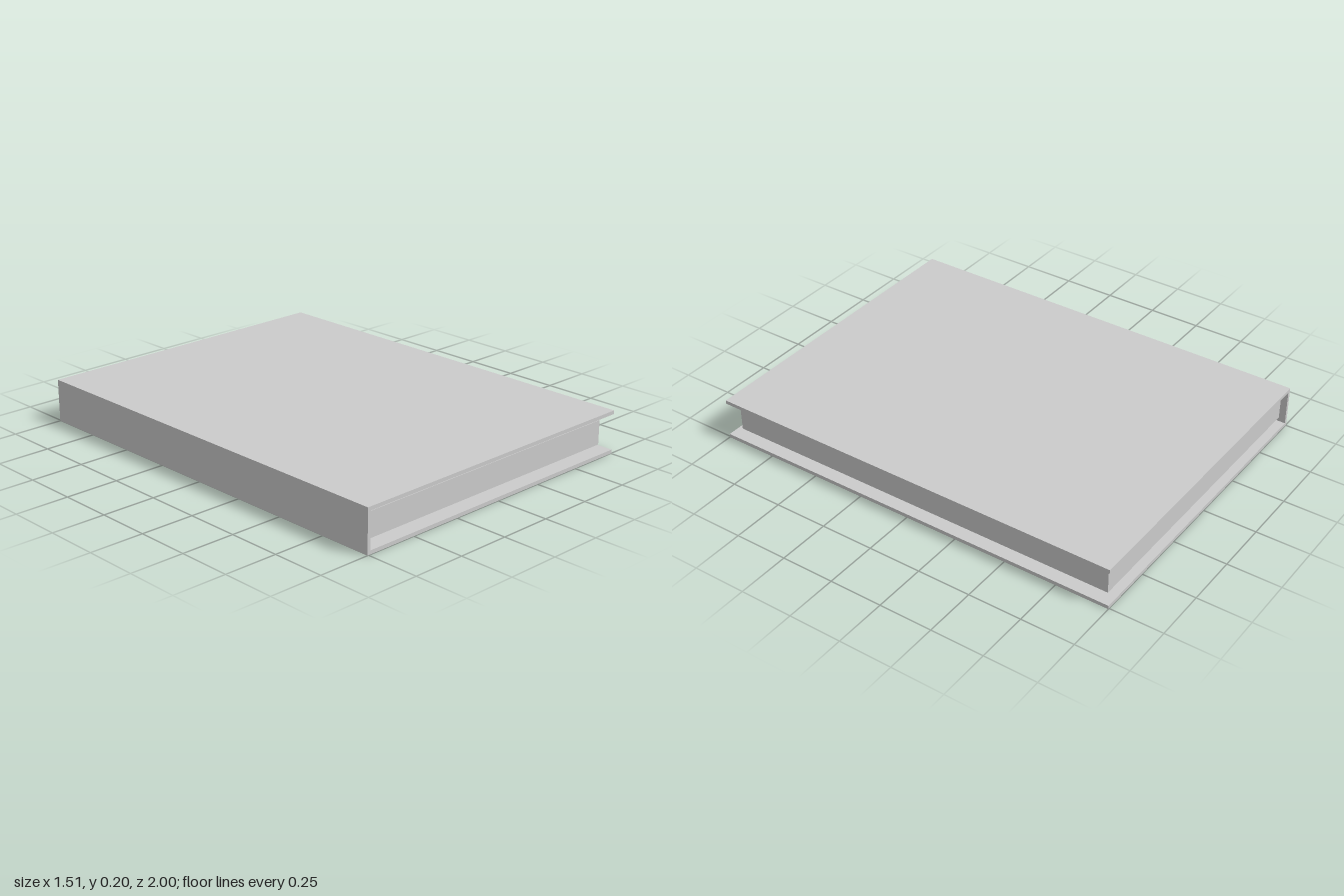
import * as THREE from 'three';

const WIDTH = 1.51, HEIGHT = 0.2, DEPTH = 2;
const BOARD = 0.017, SPINE = 0.015;

export function createModel() {
  const book = new THREE.Group();
  book.name = 'book';
  const material = new THREE.MeshStandardMaterial({ color: 0xcccccc });

  // Adds a box given its lower and upper corners
  const addBox = (name, [x0, y0, z0], [x1, y1, z1]) => {
    const mesh = new THREE.Mesh(new THREE.BoxGeometry(x1 - x0, y1 - y0, z1 - z0), material);
    mesh.position.set((x0 + x1) / 2, (y0 + y1) / 2, (z0 + z1) / 2);
    mesh.name = name;
    book.add(mesh);
  };

  const x = WIDTH / 2, z = DEPTH / 2;

  // Hard cover: two boards joined by the spine, open on the other three sides
  addBox('backCover', [-x, 0, -z], [x, BOARD, z]);
  addBox('frontCover', [-x, HEIGHT - BOARD, -z], [x, HEIGHT, z]);
  addBox('spine', [-x, BOARD, -z], [-x + SPINE, HEIGHT - BOARD, z]);

  // Page block, floating clear of the cover
  addBox('pages', [-0.735, 0.04, -0.97], [0.713, 0.154, 0.957]);

  return book;
}
